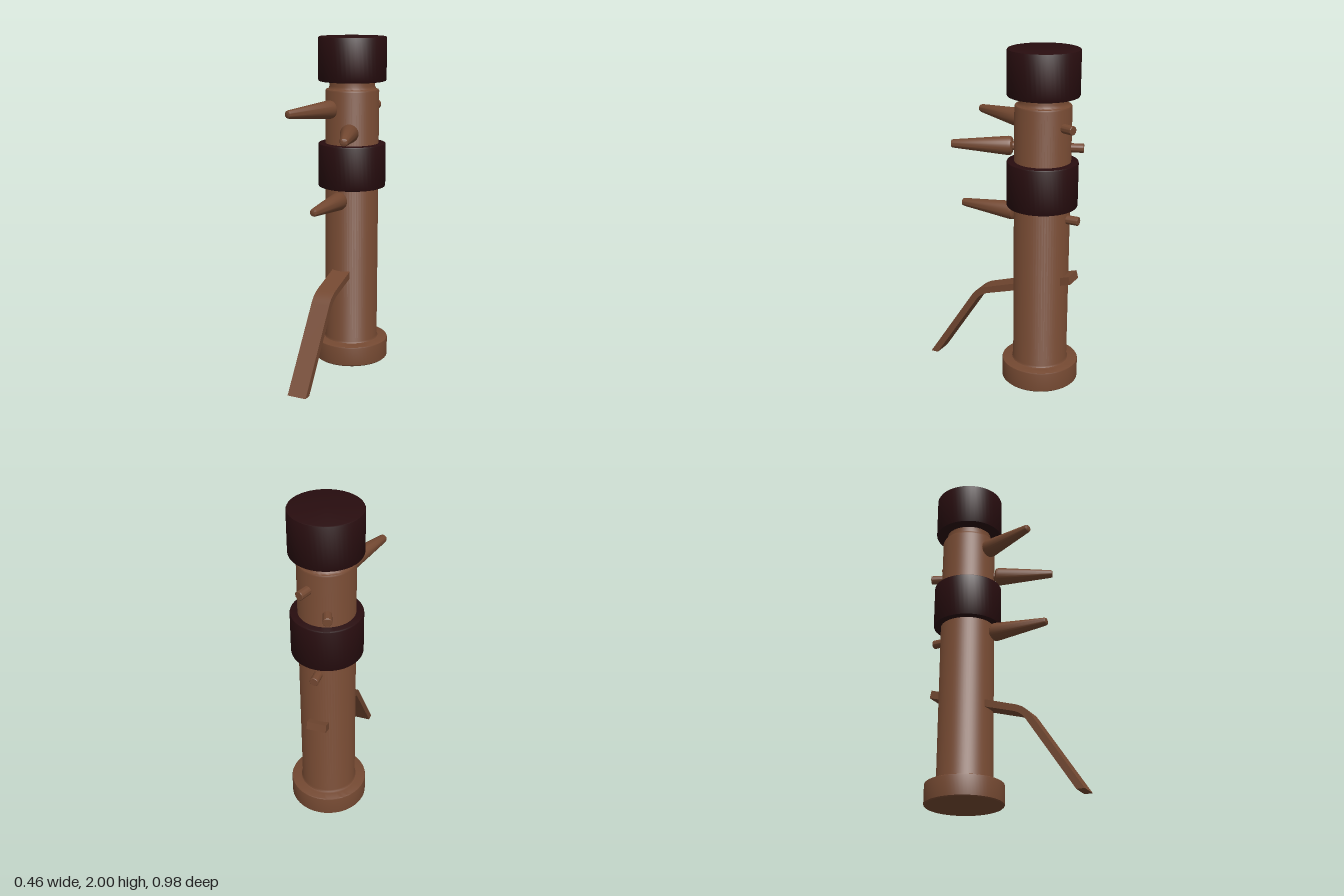
import * as THREE from 'three';
import { toCreasedNormals } from 'three/addons/utils/BufferGeometryUtils.js';

const AXIS_Z = -0.255; // centre line of the post

const wood = new THREE.MeshStandardMaterial({ color: 0x734831 });
wood.name = 'brown wood';
const leather = new THREE.MeshStandardMaterial({ color: 0x280d0f });
leather.name = 'dark padding';

// Turned solid from [radius, height] pairs, listed bottom to top
function turned(name, profile, material, segments = 48) {
  const points = profile.map(([r, y]) => new THREE.Vector2(r, y));
  const geometry = toCreasedNormals(new THREE.LatheGeometry(points, segments), 0.6);
  const mesh = new THREE.Mesh(geometry, material);
  mesh.name = name;
  return mesh;
}

// Thick padded collar with softened rims
function pad(name, bottom, top) {
  const R = 0.205, b = 0.008;
  return turned(name, [
    [0, bottom], [R - b, bottom], [R - b * 0.3, bottom + b * 0.3], [R, bottom + b],
    [R, top - b], [R - b * 0.3, top - b * 0.3], [R - b, top], [0, top],
  ], leather);
}

// Tapered arm whose thin tenon passes through the post and out at the back
function arm(name, y, angle) {
  const mesh = turned(name, [
    [0, -0.232], [0.023, -0.232], [0.026, -0.229], [0.026, 0.17],
    [0.042, 0.172], [0.052, 0.18], [0.055, 0.195],
    [0.024, 0.515], [0.021, 0.523], [0.018, 0.525], [0, 0.525],
  ], wood, 28);
  mesh.geometry.rotateX(Math.PI / 2);
  mesh.rotation.y = angle;
  mesh.position.set(0, y, AXIS_Z);
  return mesh;
}

// Bent flat leg: side profile in (z, y), extruded across the width
function leg() {
  const width = 0.116;
  const s = new THREE.Shape();
  s.moveTo(-0.47, 0.662);
  s.lineTo(0.075, 0.494);
  s.quadraticCurveTo(0.125, 0.478, 0.152, 0.438);
  s.lineTo(0.443, 0);
  s.lineTo(0.49, 0);
  s.lineTo(0.182, 0.464);
  s.quadraticCurveTo(0.153, 0.508, 0.095, 0.529);
  s.lineTo(-0.458, 0.708);
  s.closePath();
  const geometry = new THREE.ExtrudeGeometry(s, { depth: width, bevelEnabled: false, curveSegments: 8 });
  geometry.translate(0, 0, -width / 2);
  geometry.rotateY(-Math.PI / 2);
  const mesh = new THREE.Mesh(toCreasedNormals(geometry, 0.5), wood);
  mesh.name = 'leg';
  return mesh;
}

export function createModel() {
  const group = new THREE.Group();
  group.name = 'wooden training post';

  // Post with a flared foot and a narrowed neck
  const post = turned('post', [
    [0, 0], [0.222, 0], [0.228, 0.006], [0.228, 0.117], [0.226, 0.122], [0.22, 0.125],
    [0.178, 0.125], [0.168, 0.129], [0.162, 0.139],
    [0.162, 1.68], [0.158, 1.688], [0.15, 1.69], [0.142, 1.696], [0.136, 1.71],
    [0.136, 1.75], [0, 1.75],
  ], wood, 64);
  post.position.z = AXIS_Z;

  const headPad = pad('headPad', 1.738, 2);
  const bodyPad = pad('bodyPad', 1.098, 1.365);
  headPad.position.z = bodyPad.position.z = AXIS_Z;

  const spread = 0.344;
  group.add(
    post, headPad, bodyPad,
    arm('upperRightArm', 1.58, -spread),
    arm('upperLeftArm', 1.445, spread),
    arm('middleArm', 1.035, 0),
    leg(),
  );
  return group;
}
